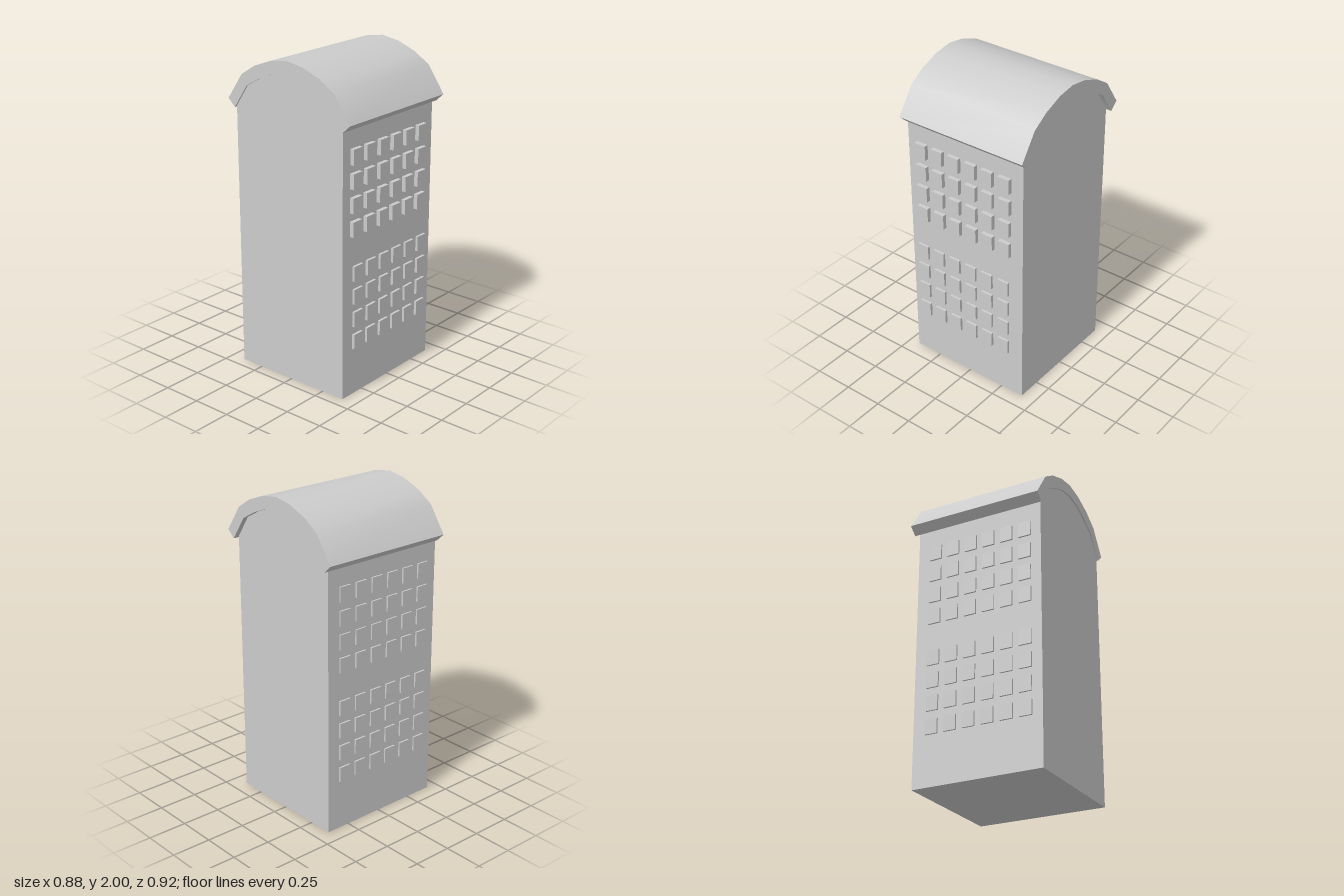
import * as THREE from 'three';
import { toCreasedNormals } from 'three/addons/utils/BufferGeometryUtils.js';

// Half profiles as [z, y], from the eave up to the ridge
const outer = [[0.462, 1.706], [0.35, 1.868], [0.246, 1.934], [0.119, 1.982], [0, 2]];
const inner = [[0.411, 1.659], [0.311, 1.807], [0.208, 1.864], [0.11, 1.905], [0, 1.921]];

// Mirrors a half profile into a full arch from +z to -z
const arch = (half) => [...half, ...half.slice(0, -1).reverse().map(([z, y]) => [-z, y])];

// Extrudes a [z, y] outline along x between x0 and x1
function extrudeAlongX(points, x0, x1) {
  const shape = new THREE.Shape(points.map(([z, y]) => new THREE.Vector2(z, y)));
  const geometry = new THREE.ExtrudeGeometry(shape, { depth: x1 - x0, bevelEnabled: false });
  return geometry.rotateY(Math.PI / 2).translate(x0, 0, 0);
}

export function createModel() {
  const model = new THREE.Group();
  model.name = 'building';
  const material = new THREE.MeshStandardMaterial({ color: 0xcccccc });

  const add = (name, geometry, parent = model) => {
    const mesh = new THREE.Mesh(geometry, material);
    mesh.name = name;
    parent.add(mesh);
    return mesh;
  };

  // Tower with gable ends that fill the arch of the roof
  const bodyTop = arch([[0.404, 1.669], ...inner.slice(1)]);
  add('tower', extrudeAlongX([[0.404, 0], ...bodyTop, [-0.404, 0]], -0.43, 0.407));

  // Curved roof shell, smooth along the arch with sharp eaves
  const roof = extrudeAlongX([...arch(outer), ...arch(inner).reverse()], -0.44, 0.44);
  add('roof', toCreasedNormals(roof, 0.55));

  // Window blocks: 6 columns by 4 rows, spanning z0 to z1
  const addWindows = (name, topRow, z0, z1) => {
    const group = new THREE.Group();
    group.name = name;
    const pane = new THREE.BoxGeometry(0.079, 0.094, z1 - z0);
    for (let row = 0; row < 4; row++) {
      for (let col = 0; col < 6; col++) {
        add('window', pane, group).position.set(
          -0.325 + col * 0.1218, topRow - row * 0.1445, (z0 + z1) / 2);
      }
    }
    model.add(group);
  };
  addWindows('frontUpperWindows', 1.501, 0.4, 0.43);
  addWindows('frontLowerWindows', 0.797, 0.424, 0.44);
  addWindows('backUpperWindows', 1.501, -0.415, -0.4);
  addWindows('backLowerWindows', 0.797, -0.415, -0.4);

  return model;
}
